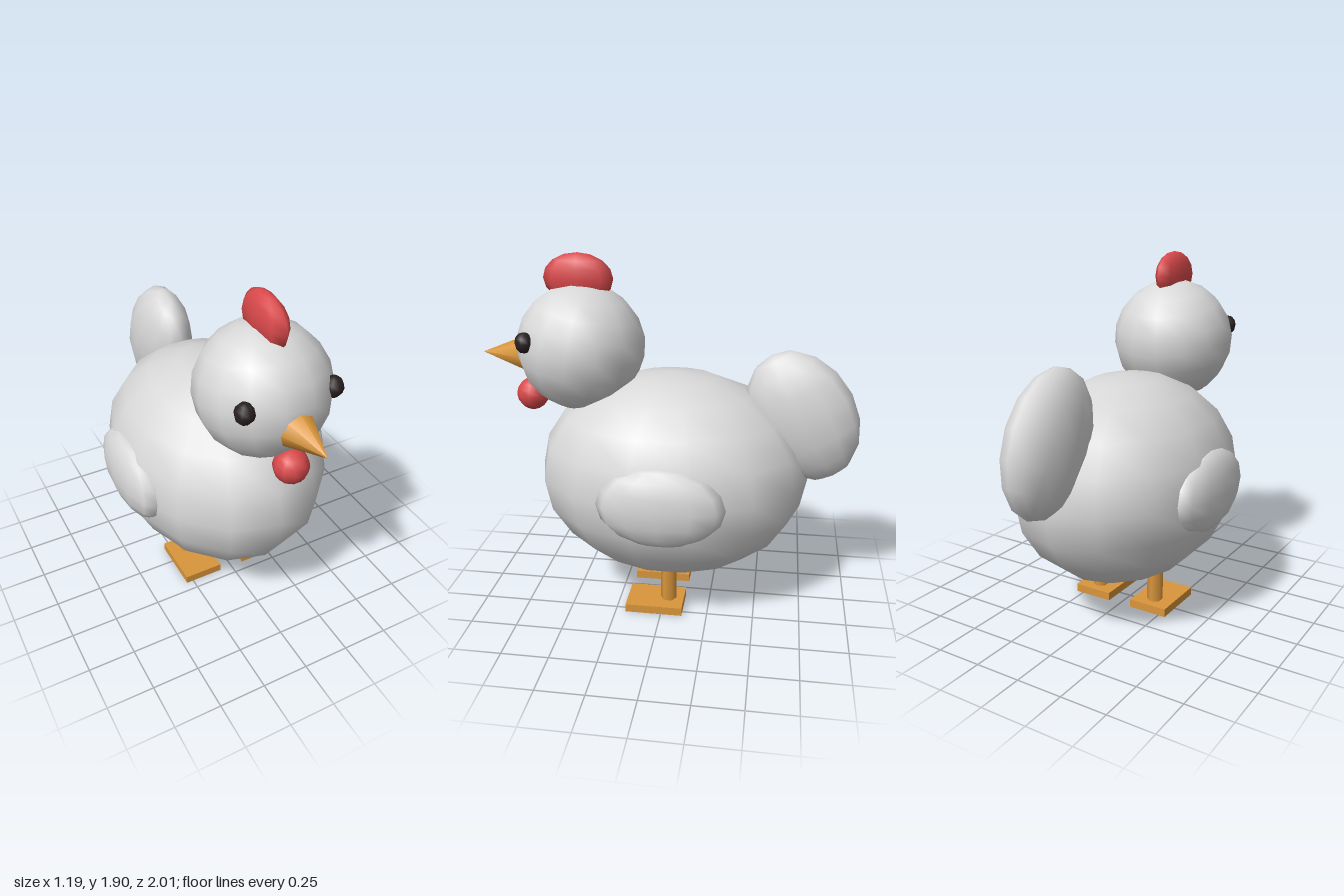
import * as THREE from 'three';

const material = (name, color) => {
  const m = new THREE.MeshStandardMaterial({ color });
  m.name = name;
  return m;
};

export function createModel() {
  const group = new THREE.Group();
  group.name = 'chicken';
  const plumage = material('plumage white', 0xd8d8d8);
  const red = material('comb red', 0xd9494b);
  const orange = material('beak orange', 0xd9963c);
  const dark = material('eye dark', 0x2a2121);

  const add = (name, geometry, mat, [x, y, z]) => {
    const mesh = new THREE.Mesh(geometry, mat);
    mesh.name = name;
    mesh.position.set(x, y, z);
    group.add(mesh);
    return mesh;
  };
  // Low-poly smooth ellipsoid with radii along x, y and z
  const ellipsoid = (name, mat, position, radii, w, h, turn = 0) => {
    const geometry = new THREE.SphereGeometry(1, w, h);
    geometry.rotateY(turn);
    geometry.scale(...radii);
    return add(name, geometry, mat, position);
  };

  // Body, head and raised tail
  ellipsoid('body', plumage, [0, 0.743, -0.03], [0.56, 0.56, 0.728], 14, 10, Math.PI / 2);
  ellipsoid('head', plumage, [0, 1.42, 0.46], [0.333, 0.333, 0.338], 14, 10).rotation.x = -0.18;
  ellipsoid('tail', plumage, [0, 1.085, -0.71], [0.155, 0.37, 0.278], 12, 8).rotation.x = 0.5;

  // Comb, wattle and beak
  ellipsoid('comb', red, [0, 1.775, 0.464], [0.066, 0.13, 0.184], 8, 8);
  ellipsoid('wattle', red, [0, 1.148, 0.737], [0.088, 0.088, 0.088], 10, 8);
  const beak = new THREE.ConeGeometry(0.098, 0.24, 8);
  beak.rotateX(Math.PI / 2);
  add('beak', beak, orange, [0, 1.37, 0.88]);

  // Mirrored parts
  for (const [side, s] of [['left', 1], ['right', -1]]) {
    ellipsoid(side + 'Wing', plumage, [s * 0.49, 0.747, -0.03], [0.105, 0.212, 0.325], 12, 8);
    ellipsoid(side + 'Eye', dark, [s * 0.228, 1.485, 0.695], [0.05, 0.054, 0.05], 8, 6);
    add(side + 'Leg', new THREE.CylinderGeometry(0.043, 0.043, 0.26, 6), orange, [s * 0.18, 0.17, -0.03]);
    add(side + 'Foot', new THREE.BoxGeometry(0.22, 0.045, 0.31), orange, [s * 0.18, 0.0225, 0.04]);
  }
  return group;
}
